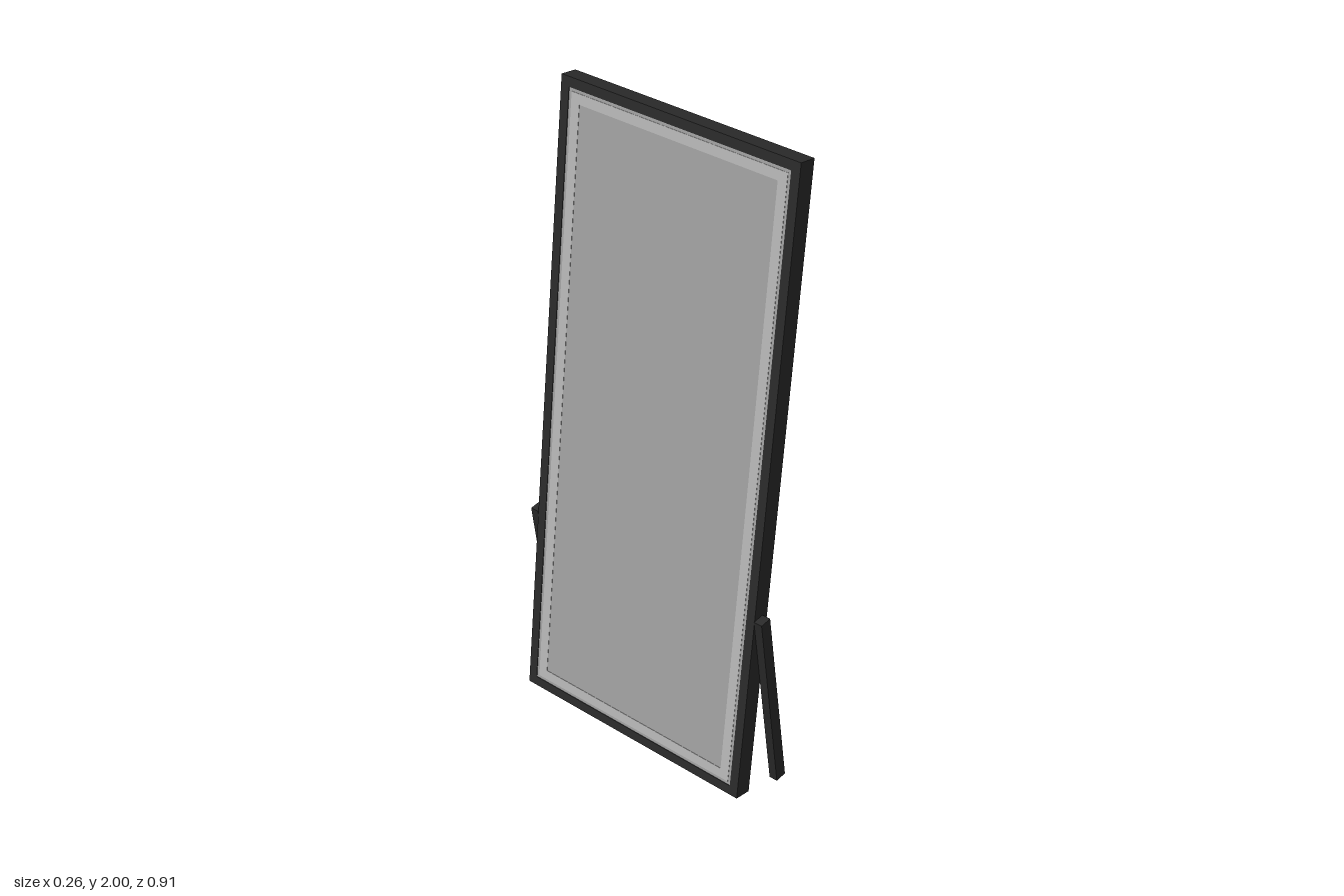
import * as THREE from 'three';

const TILT = 0.103;                       // lean of the mirror towards +x
const HEIGHT = 1.999, WIDTH = 0.852, DEPTH = 0.055, RIM = 0.03;

const black = new THREE.MeshStandardMaterial({ color: 0x2a2a2a });
const glassGrey = new THREE.MeshStandardMaterial({ color: 0xa2a2a2 });
const stripGrey = new THREE.MeshStandardMaterial({ color: 0xb8b8b8 });

function mesh(name, geometry, material) {
  const m = new THREE.Mesh(geometry, material);
  m.name = name;
  return m;
}

function rectangle(path, w, h) {
  path.moveTo(-w / 2, -h / 2);
  path.lineTo(w / 2, -h / 2);
  path.lineTo(w / 2, h / 2);
  path.lineTo(-w / 2, h / 2);
  path.closePath();
  return path;
}

// Rectangular ring across z and y, its front face at frontX looking to -x
function ring(w, h, border, depth, frontX) {
  const shape = rectangle(new THREE.Shape(), w, h);
  shape.holes.push(rectangle(new THREE.Path(), w - 2 * border, h - 2 * border));
  return new THREE.ExtrudeGeometry(shape, { depth, bevelEnabled: false })
    .translate(0, 0, -depth)
    .rotateY(-Math.PI / 2)
    .translate(frontX, 0, 0);
}

export function createModel() {
  const model = new THREE.Group();
  model.name = 'floorMirror';

  // Leaning mirror: frame, backing, glass and lighter border strip
  const mirror = new THREE.Group();
  mirror.name = 'mirror';
  mirror.position.set(0, 1.003, 0);
  mirror.rotation.z = -TILT;
  const front = -DEPTH / 2;
  const innerW = WIDTH - 2 * RIM, innerH = HEIGHT - 2 * RIM;

  mirror.add(mesh('frame', ring(WIDTH, HEIGHT, RIM, DEPTH, front), black));

  const backing = mesh('backPanel', new THREE.BoxGeometry(0.02, innerH, innerW), black);
  backing.position.x = DEPTH / 2 - 0.011;
  mirror.add(backing);

  const glass = mesh('glass', new THREE.BoxGeometry(0.03, innerH, innerW), glassGrey);
  glass.position.x = front + 0.002 + 0.015;
  mirror.add(glass);

  mirror.add(mesh('borderStrip', ring(innerW - 0.02, innerH - 0.02, 0.031, 0.002, front + 0.001), stripGrey));
  model.add(mirror);

  // Slanted support leg on each side
  for (const side of [1, -1]) {
    const leg = mesh(side > 0 ? 'frontLeg' : 'backLeg', new THREE.BoxGeometry(0.038, 0.626, 0.028), black);
    leg.position.set(-0.005, 0.3125, side * 0.44);
    leg.rotation.z = 0.148;
    model.add(leg);
  }
  return model;
}
